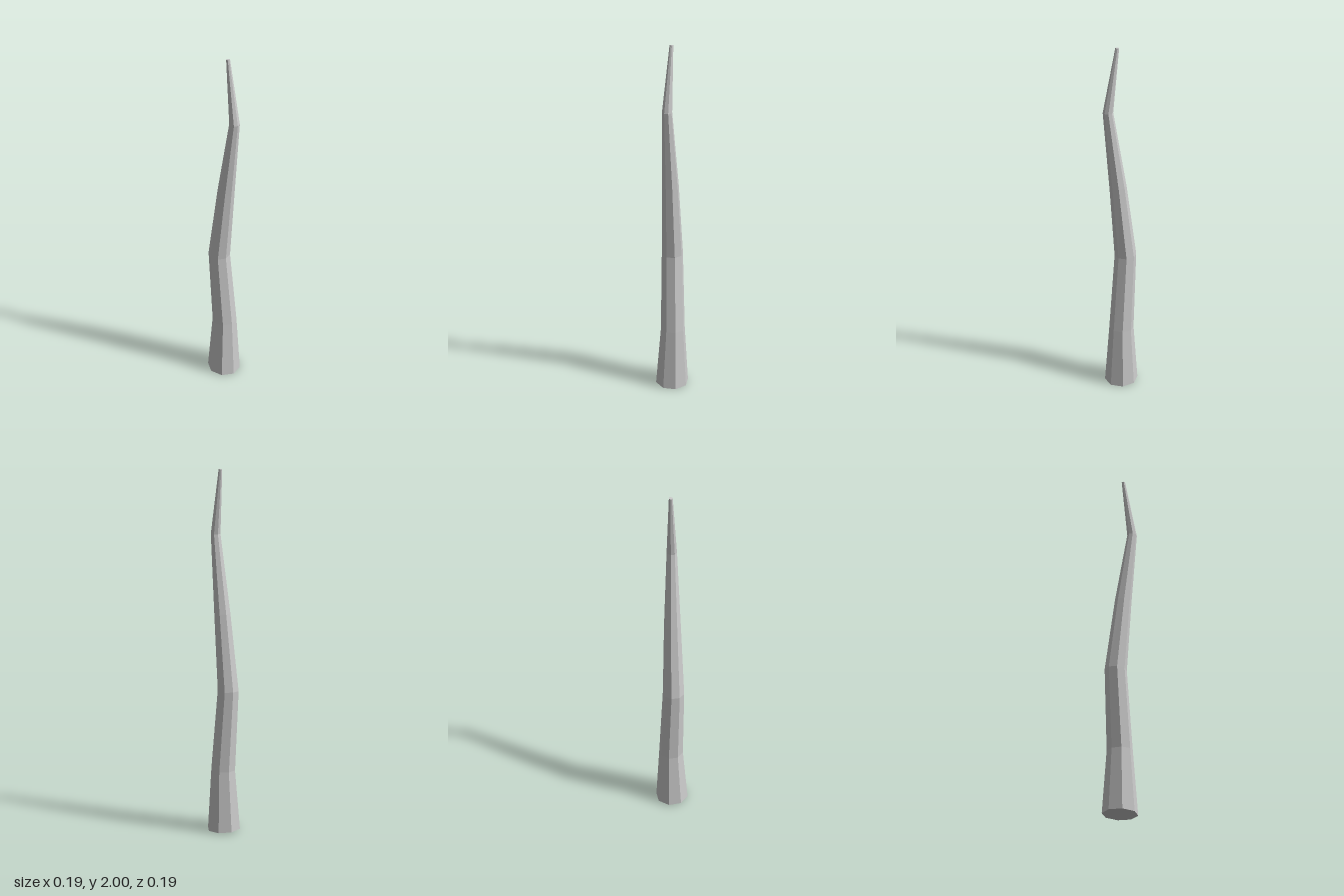
import * as THREE from 'three';

// Rings from base to tip: centre x, y, z, radius, slope of the ring in x and z
const RINGS = [
  [0, 0.005, 0, 0.094, 0.05, 0],
  [0.003, 0.35, -0.004, 0.069, -0.03, -0.01],
  [-0.027, 0.8, -0.008, 0.06, 0.02, 0.02],
  [0.013, 1.22, 0.012, 0.046, 0.1, 0.055],
  [0.06, 1.65, 0.04, 0.0275, 0, -0.01],
  [0.022, 1.997, 0.008, 0.01, -0.11, -0.09],
];

export function createModel() {
  const group = new THREE.Group();
  group.name = 'crookedSpike';

  // Eight-sided column whose rows are moved onto the rings
  const rows = RINGS.length - 1;
  const column = new THREE.CylinderGeometry(1, 1, rows, 8, rows);
  const pos = column.attributes.position;
  for (let i = 0; i < pos.count; i++) {
    const [cx, cy, cz, r, sx, sz] = RINGS[Math.round(pos.getY(i) + rows / 2)];
    const dx = pos.getX(i) * r;
    const dz = pos.getZ(i) * r;
    pos.setXYZ(i, cx + dx, cy - dx * sx - dz * sz, cz + dz);
  }
  const geometry = column.toNonIndexed();
  geometry.computeVertexNormals();

  const spike = new THREE.Mesh(
    geometry,
    new THREE.MeshStandardMaterial({ color: 0xcccccc, flatShading: true })
  );
  spike.name = 'spike';
  group.add(spike);
  return group;
}
